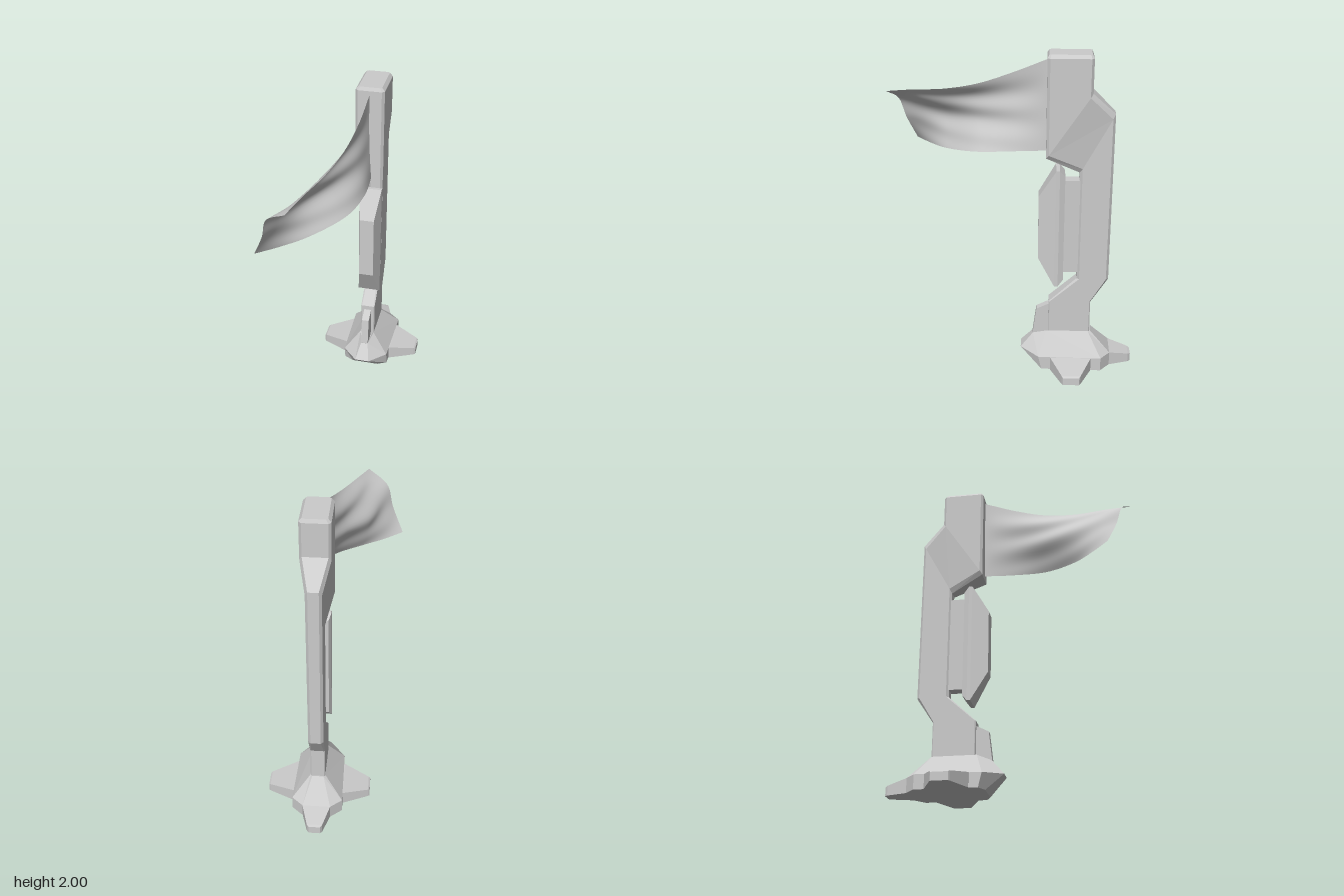
import * as THREE from 'three';
import { ParametricGeometry } from 'three/addons/geometries/ParametricGeometry.js';

const CX = 0.065; // centre line of the post

// Skin a list of rings (equal point counts), cap both ends, face outwards.
function loft(rings) {
  const n = rings[0].length, tris = [];
  for (let r = 0; r < rings.length - 1; r++) {
    for (let i = 0; i < n; i++) {
      const j = (i + 1) % n, a = rings[r], b = rings[r + 1];
      tris.push([a[i], a[j], b[j]], [a[i], b[j], b[i]]);
    }
  }
  const first = rings[0], last = rings[rings.length - 1];
  for (let i = 1; i < n - 1; i++) {
    tris.push([first[0], first[i + 1], first[i]], [last[0], last[i], last[i + 1]]);
  }
  const v = (p) => new THREE.Vector3(...p);
  const centre = v(first[0]);
  let volume = 0;
  for (const [a, b, c] of tris) {
    volume += v(a).sub(centre).dot(v(b).sub(centre).cross(v(c).sub(centre)));
  }
  if (volume < 0) tris.forEach((t) => t.reverse());
  const geometry = new THREE.BufferGeometry();
  geometry.setAttribute('position', new THREE.Float32BufferAttribute(tris.flat(2), 3));
  geometry.computeVertexNormals();
  return geometry;
}

// Complete a half ring of [x, y, z] points by mirroring it across x = 0.
const mirrored = (half) => [...half, ...half.map(([x, y, z]) => [-x, y, z]).reverse()];

// Chamfered post section; the front and back edges may sit at different heights.
function postRing([zf, yf, zb, yb, w, c]) {
  const half = [[w - c, zf], [w, zf - c], [w, zb + c], [w - c, zb]];
  return mirrored(half.map(([x, z]) => [x, yf + (yb - yf) * (z - zf) / (zb - zf), z]));
}

// Upright rectangle at depth z.
const panelRing = ([z, w, y0, y1]) => mirrored([[w, y0, z], [w, y1, z]]);

export function createModel() {
  const model = new THREE.Group();
  const body = new THREE.Group();
  body.name = 'stand';
  body.position.x = CX;
  model.add(body);
  const hard = new THREE.MeshStandardMaterial({ color: 0xcccccc, flatShading: true });
  const add = (name, geometry, parent = body) => {
    const mesh = new THREE.Mesh(geometry, hard);
    mesh.name = name;
    parent.add(mesh);
    return mesh;
  };

  // Post with its heavy head, from top to bottom
  add('post', loft([
    [-0.21, 2.0, -0.45, 2.0, 0.068, 0.01],
    [-0.2, 1.98, -0.46, 1.98, 0.085, 0.015],
    [-0.2, 1.39, -0.46, 1.78, 0.085, 0.015],
    [-0.4, 1.29, -0.595, 1.65, 0.045, 0.015],
    [-0.4, 0.59, -0.595, 0.59, 0.045, 0.015],
    [-0.23, 0.43, -0.49, 0.43, 0.045, 0.006],
    [-0.23, 0.18, -0.49, 0.18, 0.045, 0.006],
  ].map(postRing)));

  // Front panel and the block that holds it
  add('frontPanel', loft([
    [-0.16, 0.045, 0.735, 1.14],
    [-0.262, 0.07, 0.55, 1.31],
    [-0.283, 0.07, 0.55, 1.31],
    [-0.315, 0.055, 0.59, 1.275],
  ].map(panelRing)));
  add('panelMount', new THREE.BoxGeometry(0.07, 0.605, 0.11)).position.set(0, 0.937, -0.36);

  // Sloping base with an undercut prow
  add('base', loft([
    [[0.022, 0.19, -0.135], [0.045, 0.22, -0.22], [0.045, 0.22, -0.48], [0.035, 0.22, -0.495]],
    [[0.045, 0.1, -0.058], [0.145, 0.088, -0.17], [0.155, 0.088, -0.56], [0.085, 0.088, -0.62]],
    [[0.085, 0, -0.16], [0.145, 0, -0.19], [0.155, 0, -0.56], [0.085, 0, -0.62]],
  ].map(mirrored)));

  // Three tapering feet: left, right and back
  const footRing = ([d, w, h]) => mirrored([[w, 0, -d], [w, h, -d]]);
  const foot = (name, sections, angle) => {
    const mesh = add(name, loft(sections.map(footRing)));
    mesh.position.z = -0.372;
    mesh.rotation.y = angle;
  };
  const sideFoot = [[0.1, 0.127, 0.088], [0.155, 0.127, 0.088], [0.31, 0.057, 0.057], [0.32, 0.05, 0.05]];
  foot('leftFoot', sideFoot, -Math.PI / 2);
  foot('rightFoot', sideFoot, Math.PI / 2);
  foot('backFoot', [[0.2, 0.085, 0.088], [0.248, 0.085, 0.088], [0.37, 0.047, 0.058], [0.385, 0.035, 0.052]], 0);

  // Small fin at the foot of the post
  const fin = new THREE.Shape([[-0.25, 0.405], [-0.225, 0.4], [-0.155, 0.365], [-0.133, 0.19], [-0.15, 0.12], [-0.25, 0.12]]
    .map(([z, y]) => new THREE.Vector2(-z, y)));
  const finGeometry = new THREE.ExtrudeGeometry(fin, { depth: 0.046, bevelEnabled: false });
  finGeometry.translate(0, 0, -0.023).rotateY(Math.PI / 2);
  add('fin', finGeometry);

  // Flag: four flowing edges from top to bottom, blended into one cloth
  const strands = [
    [[0.065, 1.96, -0.205], [0.05, 1.875, 0], [0.015, 1.8, 0.2], [-0.04, 1.752, 0.4], [-0.11, 1.725, 0.6], [-0.16, 1.7, 0.755]],
    [[0.065, 1.78, -0.205], [0.025, 1.72, 0], [-0.05, 1.67, 0.2], [-0.135, 1.64, 0.4], [-0.2, 1.635, 0.575], [-0.28, 1.62, 0.7]],
    [[0.07, 1.6, -0.205], [0.045, 1.57, 0], [-0.04, 1.53, 0.2], [-0.185, 1.49, 0.4], [-0.265, 1.49, 0.55], [-0.32, 1.49, 0.665]],
    [[0.08, 1.42, -0.205], [0.085, 1.415, 0], [0.03, 1.39, 0.2], [-0.14, 1.35, 0.4], [-0.27, 1.336, 0.51], [-0.39, 1.335, 0.61]],
  ].map((pts) => new THREE.CatmullRomCurve3(pts.map((p) => new THREE.Vector3(...p))));
  const cloth = new ParametricGeometry((u, v, target) => {
    const across = new THREE.CatmullRomCurve3(strands.map((s) => s.getPoint(u)));
    target.copy(across.getPoint(v));
    // diagonal ripples fading out at the borders
    target.x += 0.014 * Math.sin(Math.PI * u) * Math.sin(Math.PI * v) * Math.sin(15 * v + 5 * u);
  }, 48, 28);
  const flag = new THREE.Mesh(cloth, new THREE.MeshStandardMaterial({ color: 0xcccccc, side: THREE.DoubleSide }));
  flag.name = 'flag';
  model.add(flag);
  return model;
}
